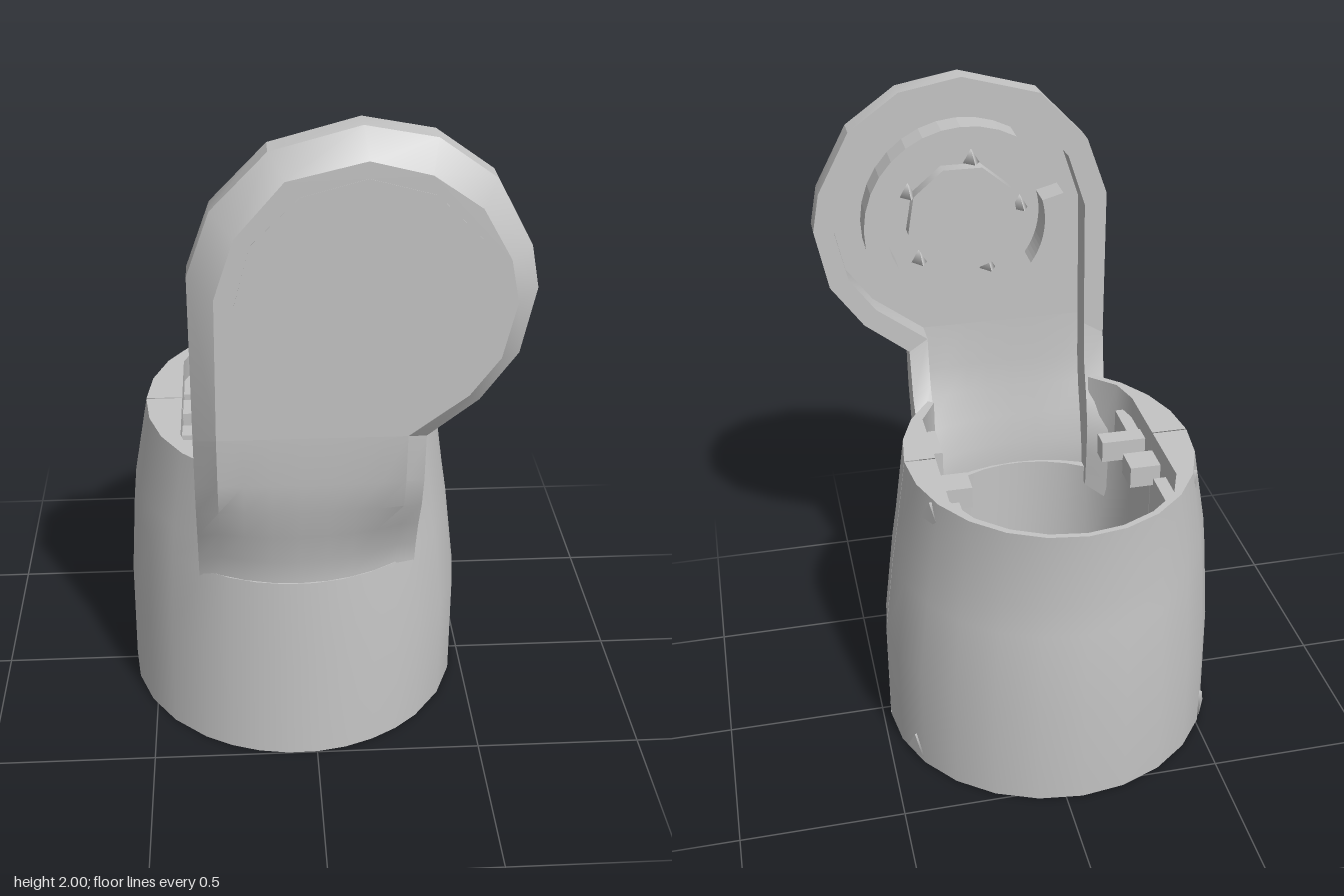
import * as THREE from 'three';
import { mergeVertices, toCreasedNormals } from 'three/addons/utils/BufferGeometryUtils.js';

const grey = new THREE.MeshStandardMaterial({ color: 0xc4c4c4, side: THREE.DoubleSide });
grey.name = 'grey plastic';
const { lerp, clamp, degToRad } = THREE.MathUtils;

// Triangles between successive rings of [x, y, z] points
function loftFaces(rings, closed) {
  const tris = [];
  for (let r = 0; r + 1 < rings.length; r++) {
    const p = rings[r], q = rings[r + 1], n = p.length;
    for (let i = 0; i < (closed ? n : n - 1); i++) {
      const j = (i + 1) % n;
      tris.push(p[i], q[i], p[j], p[j], q[i], q[j]);
    }
  }
  return tris;
}

function capFaces(ring, flip) {
  const flat = ring.map(([x, y]) => new THREE.Vector2(x, y));
  return THREE.ShapeUtils.triangulateShape(flat, [])
    .flatMap(([a, b, c]) => (flip ? [ring[a], ring[c], ring[b]] : [ring[a], ring[b], ring[c]]));
}

function addMesh(parent, name, geometry) {
  const mesh = new THREE.Mesh(geometry, grey);
  mesh.name = name;
  parent.add(mesh);
  return mesh;
}

function addFaces(parent, name, tris, crease) {
  const g = new THREE.BufferGeometry();
  g.setAttribute('position', new THREE.Float32BufferAttribute(tris.flat(), 3));
  return addMesh(parent, name, toCreasedNormals(mergeVertices(g, 1e-4), crease));
}

// Barrel wall: [y, centre x, radius x, back radius z, front radius z, flat sides]
const CZ = -0.03;
const outerWall = [
  [0, -0.052, 0.527, 0.515, 0.53],
  [0.35, -0.05, 0.524, 0.525, 0.523],
  [0.62, -0.057, 0.498, 0.505, 0.51],
  [0.72, -0.06, 0.485, 0.497, 0.503],
  [0.97, -0.055, 0.445, 0.505, 0.5],
];
// The bore has a flange near the bottom
const innerWall = [
  [0.97, -0.055, 0.42, 0.488, 0.48, true],
  [0.62, -0.055, 0.42, 0.48, 0.475, true],
  [0.22, -0.055, 0.42, 0.475, 0.475, true],
  [0.22, -0.055, 0.42, 0.435, 0.435, true],
  [0.14, -0.055, 0.42, 0.435, 0.435, true],
  [0.14, -0.052, 0.467, 0.465, 0.47],
  [0, -0.052, 0.467, 0.465, 0.47],
];
const fullWall = [...outerWall, ...innerWall, outerWall[0]];
const lowWall = fullWall.filter(([y]) => y <= 0.62);

function barrelArc(rows, from, to, steps) {
  return loftFaces(rows.map(([y, cx, rx, back, front, flat]) => {
    const ring = [];
    for (let i = 0; i <= steps; i++) {
      const t = lerp(from, to, i / steps);
      const x = cx + rx * Math.cos(t), s = Math.sin(t);
      ring.push([flat ? clamp(x, -0.39, 0.295) : x, y, CZ + s * (s > 0 ? front : back)]);
    }
    return ring;
  }), false);
}

// Front surface of the barrel at x, y
function barrelZ(x, y) {
  const h = clamp(y, 0, 0.969);
  const k = outerWall.findIndex((row) => row[0] > h);
  const a = outerWall[k - 1], b = outerWall[k], f = (h - a[0]) / (b[0] - a[0]);
  const u = (x - lerp(a[1], b[1], f)) / lerp(a[2], b[2], f);
  return CZ + lerp(a[4], b[4], f) * Math.sqrt(1 - u * u);
}

// Round cover outline: outer x, y, face x, y
const outline = [
  [0.3, 1.11, 0.24, 1.15],
  [0.44, 1.22, 0.4, 1.27],
  [0.54, 1.36, 0.48, 1.38],
  [0.578, 1.55, 0.515, 1.54],
  [0.555, 1.67, 0.49, 1.66],
  [0.455, 1.855, 0.41, 1.8],
  [0.3, 1.965, 0.28, 1.89],
  [0.11, 2.0, 0.12, 1.93],
  [-0.13, 1.935, -0.09, 1.88],
  [-0.28, 1.78, -0.22, 1.73],
  [-0.345, 1.6, -0.275, 1.565],
  [-0.345, 1.11, -0.28, 1.15],
];

function buildCover(parent) {
  const face = (z) => outline.map(([, , x, y]) => [x, y, z]);
  const edge = (z) => outline.map(([x, y]) => [x, y, z]);
  const rings = [face(0.555), edge(0.485), edge(0.41), face(0.41), face(0.495)];
  addFaces(parent, 'roundCover',
    [...capFaces(rings[0], false), ...loftFaces(rings, false), ...capFaces(rings[4], true)], 0.45);
}

// Channel-shaped arm that melts into the barrel: rows of [y, blend from barrel to arm]
const armRows = [[1.15, 1], [1.0, 0.95], [0.9, 0.8], [0.8, 0.5], [0.7, 0.22], [0.63, 0.05], [0.56, 0]];
const armColumns = [-0.28, -0.21, -0.13, -0.05, 0.03, 0.1, 0.17, 0.24];

function buildArm(parent) {
  const rings = armRows.map(([y, blend]) => {
    const at = (x, h, top, sink, b) => [x, h, lerp(barrelZ(x, h) - sink, top, b)];
    const back = (x, h) => at(x, h, 0.41, 0.08, blend ** 4);
    const edge = (x) => at(x, y - 0.04, 0.485, 0.008, blend);
    return [
      back(-0.345, y - 0.04), edge(-0.345),
      ...armColumns.map((x) => at(x, y, 0.555, 0.008, blend)),
      edge(0.3), back(0.3, y - 0.04), back(0.24, y),
      ...[...armColumns].reverse().map((x) => at(x, y, 0.495, 0.03, blend)),
      back(-0.28, y),
    ];
  });
  addFaces(parent, 'arm', loftFaces(rings, true), 0.6);
}

// Curved rib standing on the back of the round cover
function arcRib(parent, name, from, to) {
  const a = degToRad(from), b = degToRad(to);
  const shape = new THREE.Shape();
  shape.absarc(0, 0, 0.32, a, b, false);
  shape.absarc(0, 0, 0.25, b, a, true);
  const g = new THREE.ExtrudeGeometry(shape, { depth: 0.1, bevelEnabled: false, curveSegments: 7 });
  addMesh(parent, name, g).position.set(0.105, 1.53, 0.404);
}

function disc(parent, name, radius, depth, sides, x, y, z) {
  const g = new THREE.CylinderGeometry(radius, radius, depth, sides).rotateX(Math.PI / 2);
  addMesh(parent, name, g).position.set(x, y, z);
}

function block(parent, name, x0, x1, y0, y1, z0, z1) {
  const g = new THREE.BoxGeometry(x1 - x0, y1 - y0, z1 - z0);
  addMesh(parent, name, g).position.set((x0 + x1) / 2, (y0 + y1) / 2, (z0 + z1) / 2);
}

export function createModel() {
  const model = new THREE.Group();
  model.name = 'motorHousing';

  // Barrel in two halves with a narrow seam; the front is cut open where the arm joins
  const gap = 0.005, cutA = 0.785, cutB = 2.158;
  addFaces(model, 'frontBarrelHalf', [
    ...barrelArc(fullWall, gap, cutA, 3),
    ...barrelArc(lowWall, cutA, cutB, 8),
    ...barrelArc(fullWall, cutB, Math.PI - gap, 4),
  ], 0.6);
  addFaces(model, 'backBarrelHalf', barrelArc(fullWall, Math.PI + gap, 2 * Math.PI - gap, 12), 0.6);

  // Arm and round cover
  buildArm(model);
  buildCover(model);
  disc(model, 'coverPlate', 0.345, 0.004, 12, 0.12, 1.54, 0.554);
  arcRib(model, 'longCoverRib', -30, 120);
  arcRib(model, 'shortCoverRib', 165, 215);
  disc(model, 'coverHub', 0.18, 0.05, 9, 0.105, 1.53, 0.475);
  for (let i = 0; i < 5; i++) {
    const a = 0.5 + (i * Math.PI * 2) / 5;
    const tab = addMesh(model, 'hubTab', new THREE.ConeGeometry(0.03, 0.07, 3).rotateX(-Math.PI / 2));
    tab.position.set(0.105 + 0.19 * Math.cos(a), 1.53 + 0.19 * Math.sin(a), 0.46);
  }

  // Short guide blocks near the top and bottom of the bore
  for (const [z0, z1] of [[-0.32, -0.18], [0.11, 0.25]]) {
    for (const [y0, y1, reach] of [[0.03, 0.14, 0.08], [0.76, 0.9, 0.05]]) {
      block(model, 'leftGuideBlock', 0.25, 0.25 + reach, y0, y1, z0, z1);
      block(model, 'rightGuideBlock', -0.35 - reach, -0.35, y0, y1, z0, z1);
    }
  }

  // Pegs just below the rim
  block(model, 'leftPeg', 0.2, 0.31, 0.84, 0.91, -0.125, -0.035);
  block(model, 'rightBackPeg', -0.41, -0.295, 0.84, 0.91, -0.125, -0.035);
  block(model, 'rightFrontPeg', -0.41, -0.25, 0.84, 0.91, 0.04, 0.1);

  // Small triangular snap marks near both rims
  for (const [y, left, right] of [[0.915, 0.345, -0.455], [0.045, 0.42, -0.524]]) {
    for (const x of [left, right]) {
      const mark = addMesh(model, 'snapMark',
        new THREE.CylinderGeometry(0.045, 0.045, 0.016, 3).rotateX(-Math.PI / 2));
      mark.position.set(x, y, -0.25);
      mark.rotation.y = Math.sign(x) * 2.05;
    }
  }
  return model;
}
